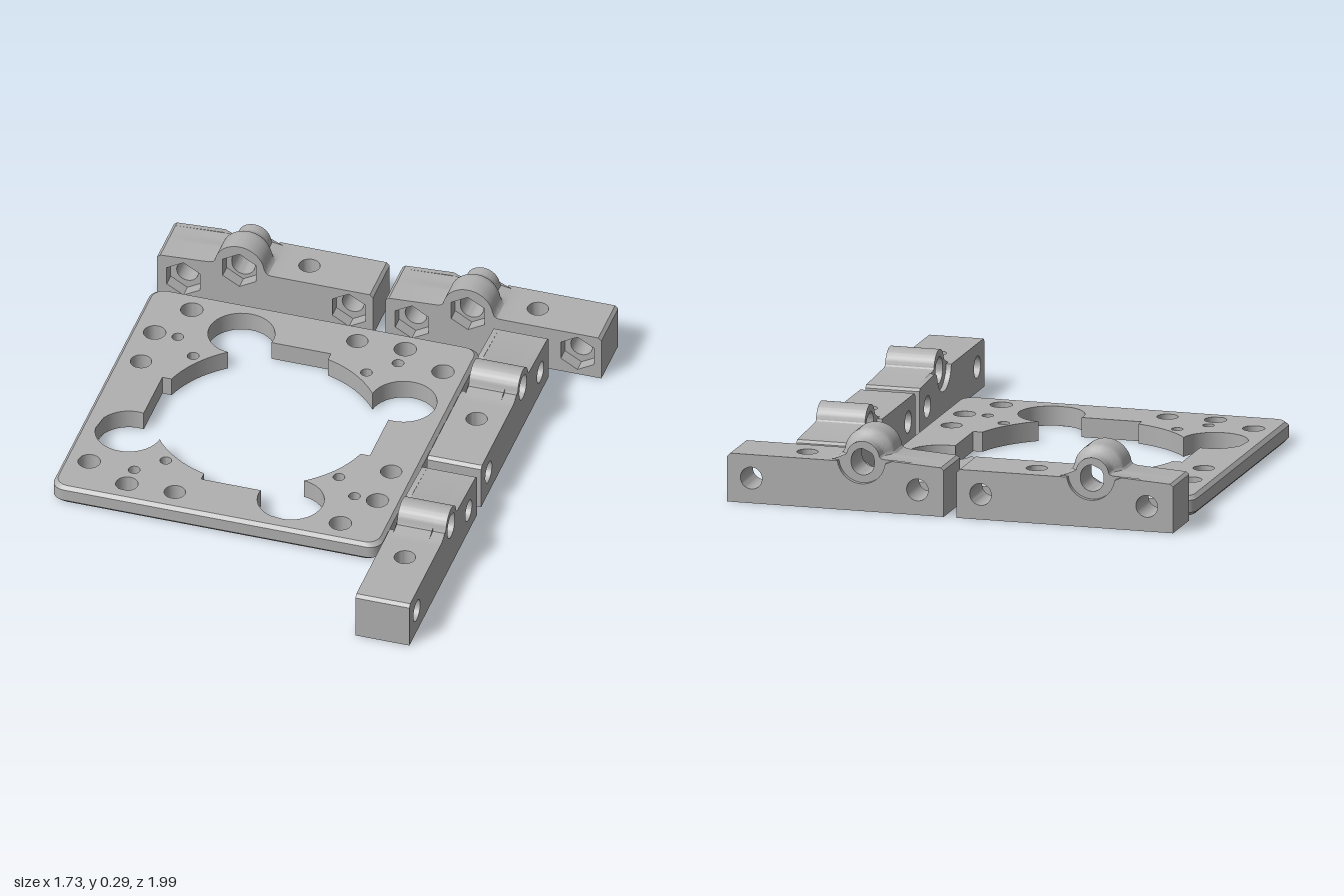
import * as THREE from 'three';
import { toCreasedNormals } from 'three/addons/utils/BufferGeometryUtils.js';

const V = (x, y) => new THREE.Vector2(x, y);
const deg = Math.PI / 180;

// points along a circular arc, angles in degrees
function arc(cx, cy, r, a0, a1, n) {
  return Array.from({ length: n + 1 }, (_, i) => {
    const a = (a0 + ((a1 - a0) * i) / n) * deg;
    return V(cx + r * Math.cos(a), cy + r * Math.sin(a));
  });
}
const circle = (x, y, r, n = 28) => arc(x, y, r, 0, 360 - 360 / n, n - 1);
const hexagon = (x, y, r = 0.075) => arc(x, y, r, 30, 330, 5);
const slot = (x, y0, y1, r) => [...arc(x, y1, r, 0, 180, 14), ...arc(x, y0, r, 180, 360, 14)];

function extrude(outline, holes, depth, steps = 1) {
  const shape = new THREE.Shape(outline);
  shape.holes = holes.map((h) => new THREE.Path(h));
  return new THREE.ExtrudeGeometry(shape, { depth, steps, bevelEnabled: false });
}

function addMesh(group, name, geo, material) {
  const mesh = new THREE.Mesh(toCreasedNormals(geo, 0.5), material);
  mesh.name = name;
  group.add(mesh);
}

// square plate, its cut-outs repeated four times around the centre
function makePlate(material) {
  const group = new THREE.Group();
  group.name = 'mountingPlate';
  const half = 0.64, r = 0.05, T = 0.075;
  const k = half - r;
  const outline = [
    ...arc(k, k, r, 0, 90, 6), ...arc(-k, k, r, 90, 180, 6),
    ...arc(-k, -k, r, 180, 270, 6), ...arc(k, -k, r, 270, 360, 6),
  ];
  // one quarter of the central opening: slot, step, main arc, corner lobe
  const quarter = [
    V(-0.117, -0.44), V(0.115, -0.44),
    ...arc(0, 0, 0.42, -74.1, -37.1, 10),
    ...arc(0.46, -0.24, 0.125, -174, 98, 30),
  ];
  const bolts = [[-0.46, -0.545, 0.042], [-0.55, -0.37, 0.042], [-0.545, -0.185, 0.04],
    [-0.46, -0.37, 0.022], [-0.37, -0.275, 0.022]];
  const opening = [], holes = [];
  for (let q = 0; q < 4; q++) {
    const turn = (p) => {
      let x = p.x, z = p.y;
      for (let i = 0; i < q; i++) [x, z] = [-z, x];
      return V(x, -z);
    };
    opening.push(...quarter.map(turn));
    for (const [x, z, rad] of bolts) {
      const c = turn(V(x, z));
      holes.push(circle(c.x, c.y, rad));
    }
  }
  const geo = extrude(outline, [opening, ...holes], T, 3);
  // soften the outer rim
  const p = geo.attributes.position;
  const rows = [0, 0.014, 0.061, T];
  for (let i = 0; i < p.count; i++) {
    const row = Math.round((p.getZ(i) / T) * 3);
    p.setZ(i, rows[row]);
    const rim = Math.max(Math.abs(p.getX(i)), Math.abs(p.getY(i))) > 0.61;
    if (rim && (row === 0 || row === 3)) {
      p.setX(i, p.getX(i) * 0.98);
      p.setY(i, p.getY(i) * 0.98);
    }
  }
  geo.rotateX(-Math.PI / 2);
  addMesh(group, 'plate', geo, material);
  group.position.set(-0.23, 0, -0.1);
  return group;
}

// bar along local x; its depth w runs along dir * z from the counterbored face
function makeBar(name, material, dir, wideBoss) {
  const group = new THREE.Group();
  group.name = name;
  const W = 0.21, H = 0.186, U = 0.32, CY = 0.197, R = 0.097, NARROW = 0.67;
  const S0 = 0.475, S1 = 0.655, L = 0.84;

  const bossOutline = [
    V(0, 0), V(S0, 0), V(S0, H), V(0.445, H), V(0.432, 0.188), V(0.423, 0.195),
    ...arc(U, CY, R, 8, 172, 28),
    V(0.217, 0.203), V(0.2, 0.198), V(0.012, 0.187), V(0, 0.177),
  ];
  const boreOutline = [
    V(0, 0), V(S0, 0), V(S0, H), V(0.412, H),
    ...arc(U, CY, 0.093, -7, -173, 20),
    V(0.2, 0.198), V(0.012, 0.187), V(0, 0.177),
  ];
  const endOutline = [V(S1, 0), V(L, 0), V(L, H - 0.012), V(L - 0.012, H), V(S1, H)];

  // layer between depths w0 and w1; the boss shrinks by the rule scale(w)
  function layer(part, w0, w1, outline, holes, steps = 1, scale = null) {
    const geo = extrude(outline, holes, w1 - w0, steps);
    geo.translate(0, 0, dir > 0 ? w0 : -w1);
    if (scale) {
      const p = geo.attributes.position;
      for (let i = 0; i < p.count; i++) {
        const dx = p.getX(i) - U, y = p.getY(i);
        if (y < 0.189 || Math.abs(dx) > 0.125 || Math.hypot(dx, y - 0.19) < 0.055) continue;
        const s = scale(dir * p.getZ(i));
        p.setX(i, U + dx * s);
        p.setY(i, CY + (y - CY) * s);
      }
    }
    addMesh(group, part, geo, material);
  }

  const bossScale = (w) =>
    wideBoss ? NARROW + (1 - NARROW) * THREE.MathUtils.smoothstep(w, 0.06, 0.115) : NARROW;
  const bossSlot = slot(U, 0.178, 0.19, 0.045);
  const nearHole = circle(0.102, 0.096, 0.042);
  const farHole = circle(0.747, 0.096, 0.042);
  const nut = 0.16;

  // boss section
  layer('counterbore', 0, 0.02, boreOutline, [nearHole]);
  layer('boss', 0.02, nut, bossOutline, [nearHole, bossSlot], 20, bossScale);
  layer('bossFace', nut, W, bossOutline,
    wideBoss ? [hexagon(0.102, 0.096), hexagon(U, 0.185)] : [nearHole, bossSlot], 1, bossScale);
  // far end section
  layer('barEnd', 0, nut, endOutline, [farHole]);
  layer('barEndFace', nut, W, endOutline, [wideBoss ? hexagon(0.747, 0.096) : farHole]);

  // middle section with the vertical bolt hole and a nut pocket underneath
  const m = -dir * W / 2;
  const rect = [V(S0, m - W / 2), V(S1, m - W / 2), V(S1, m + W / 2), V(S0, m + W / 2)];
  const pocket = extrude(rect, [hexagon(0.56, m)], 0.06);
  const shaft = extrude(rect, [circle(0.56, m, 0.04)], H - 0.06);
  shaft.translate(0, 0, 0.06);
  addMesh(group, 'nutPocket', pocket.rotateX(-Math.PI / 2), material);
  addMesh(group, 'boltHole', shaft.rotateX(-Math.PI / 2), material);
  return group;
}

export function createModel() {
  const model = new THREE.Group();
  model.name = 'mountingKit';
  const grey = new THREE.MeshStandardMaterial({ color: 0xb0b0b0 });
  grey.name = 'grey';

  model.add(makePlate(grey));
  // two bars along the back
  [-0.87, 0.02].forEach((x, i) => {
    const bar = makeBar('backBar' + (i + 1), grey, 1, true);
    bar.position.set(x, 0, -1);
    model.add(bar);
  });
  // two bars along the +x side
  [-0.74, 0.153].forEach((z, i) => {
    const bar = makeBar('sideBar' + (i + 1), grey, -1, false);
    bar.rotation.y = -Math.PI / 2;
    bar.position.set(0.46, 0, z);
    model.add(bar);
  });
  return model;
}
